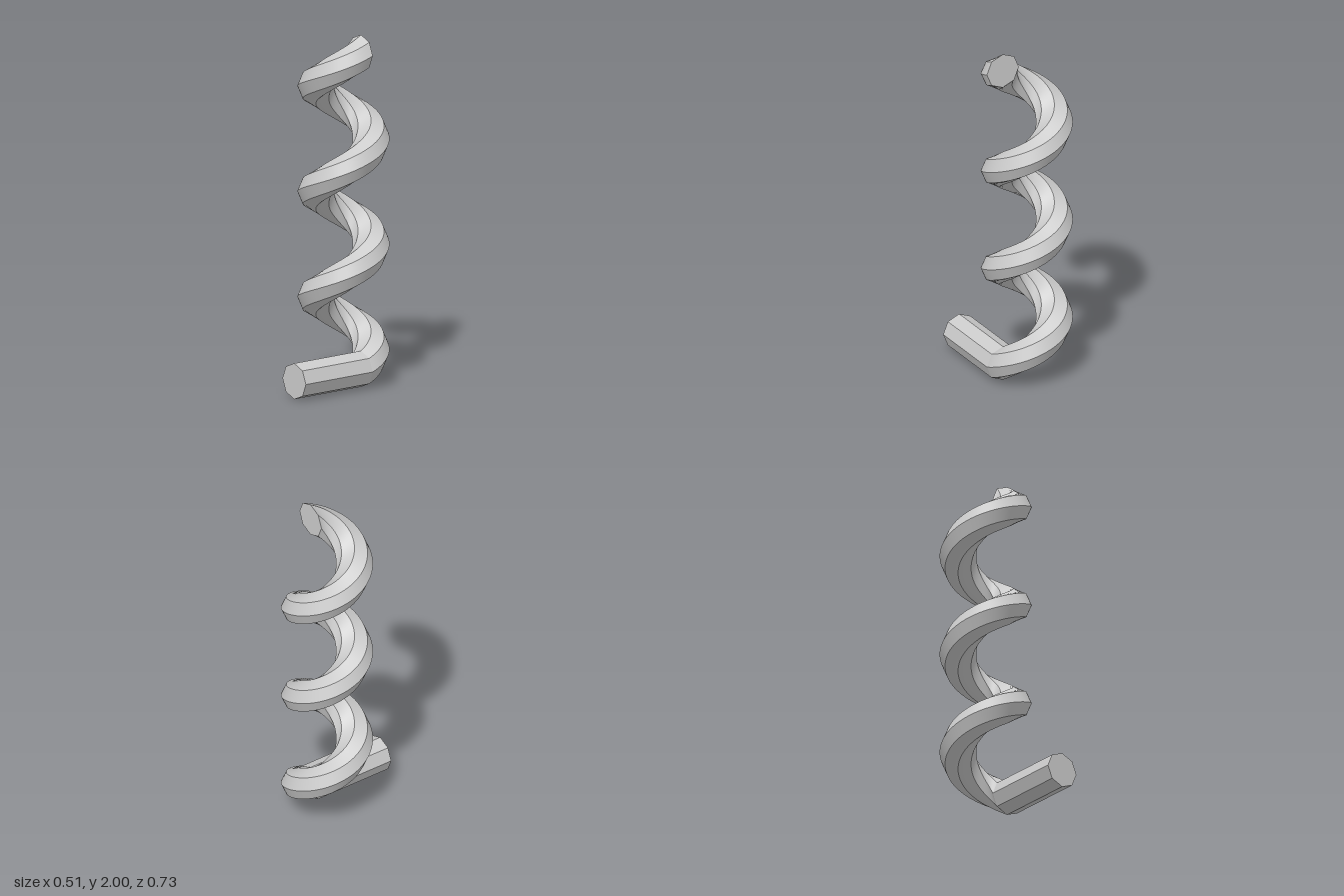
import * as THREE from 'three';

const SIDES = 8;
const BAR = 0.102;      // radius of the octagonal bar
const COIL = 0.153;     // radius of the coil's centre line
const AXIS_Z = -0.112;  // the coil's vertical axis
const FRONT_Z = 0.367;
const TURNS = 3;
const RISE = 2 - 2 * BAR;

// Sweep the octagon through point(t, radial, up); each side has its own vertices, so its edges stay sharp
function sweep(point, steps) {
  const positions = [], index = [];
  for (let s = 0; s < SIDES; s++) {
    const base = positions.length / 3;
    for (let i = 0; i <= steps; i++) {
      for (const k of [s, s + 1]) {
        const a = (k / SIDES) * Math.PI * 2;
        positions.push(...point(i / steps, COIL + BAR * Math.cos(a), BAR + BAR * Math.sin(a)));
      }
      if (i < steps) {
        const p = base + i * 2;
        index.push(p, p + 2, p + 1, p + 1, p + 2, p + 3);
      }
    }
  }
  const geometry = new THREE.BufferGeometry();
  geometry.setAttribute('position', new THREE.Float32BufferAttribute(positions, 3));
  geometry.setIndex(index);
  geometry.computeVertexNormals();
  return geometry;
}

export function createModel() {
  const group = new THREE.Group();
  group.name = 'corkscrewBar';
  const material = new THREE.MeshStandardMaterial({ color: 0xcccccc });
  const add = (name, geometry) => {
    const mesh = new THREE.Mesh(geometry, material);
    mesh.name = name;
    group.add(mesh);
    return mesh;
  };

  // Straight bar running back to the start of the coil
  add('straightBar', sweep((t, r, y) => [r, y, FRONT_Z + (AXIS_Z - FRONT_Z) * t], 1));

  // Three rising turns, the section staying upright in the radial plane
  add('coil', sweep((t, r, y) => {
    const a = t * TURNS * Math.PI * 2;
    return [r * Math.cos(a), y + RISE * t, AXIS_Z - r * Math.sin(a)];
  }, TURNS * 72));

  // Flat end caps
  add('frontCap', new THREE.CircleGeometry(BAR, SIDES)).position.set(COIL, BAR, FRONT_Z);
  const topCap = add('topCap', new THREE.CircleGeometry(BAR, SIDES));
  topCap.position.set(COIL, BAR + RISE, AXIS_Z);
  topCap.rotation.y = Math.PI;

  return group;
}
